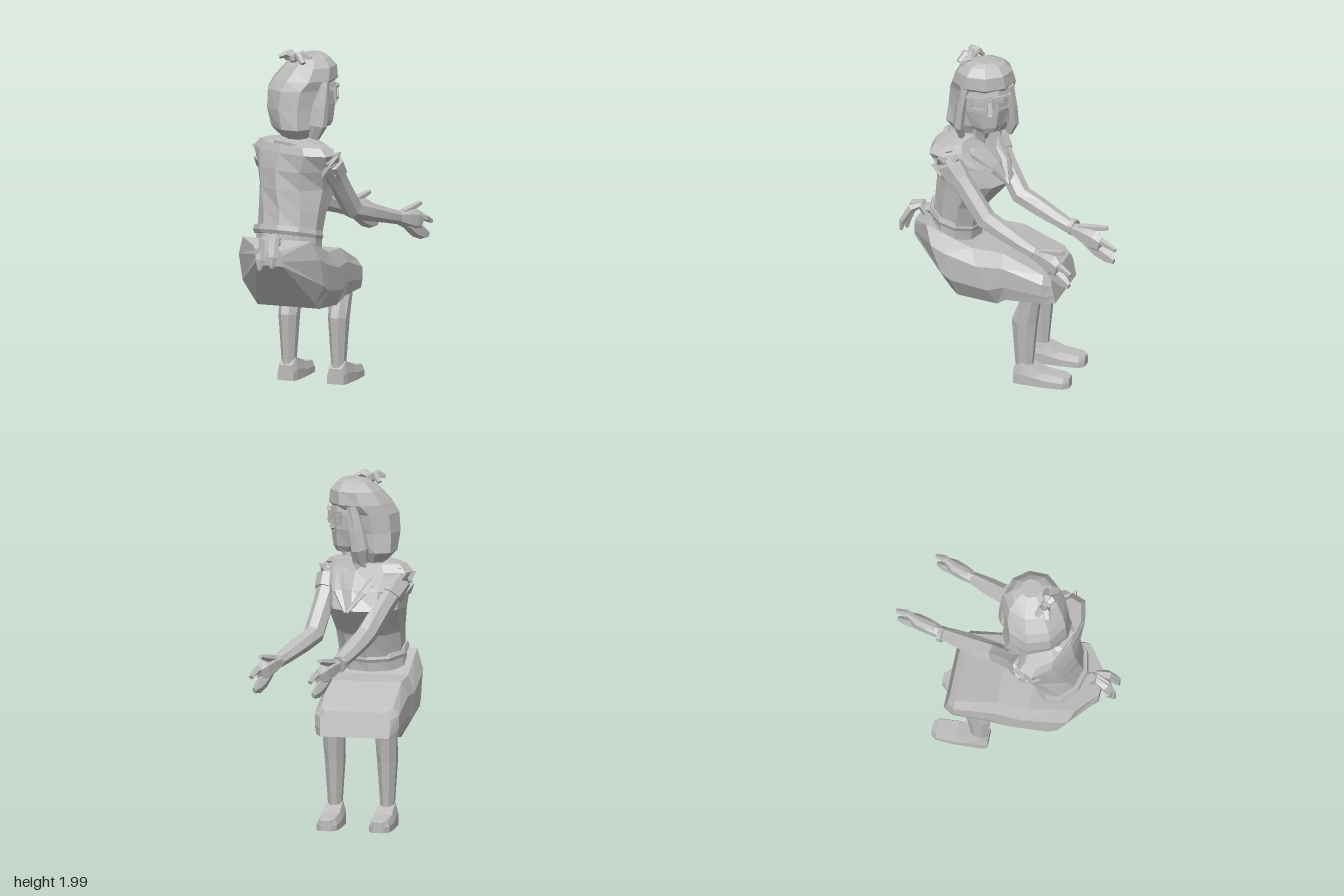
import * as THREE from 'three';

const grey = new THREE.MeshStandardMaterial({ color: 0xbcbcbc });
grey.name = 'stone grey';
const V = (x, y, z) => new THREE.Vector3(x, y, z);

function add(parent, name, geo) {
  const flat = geo.index ? geo.toNonIndexed() : geo;
  flat.computeVertexNormals();
  const m = new THREE.Mesh(flat, grey);
  m.name = name;
  parent.add(m);
}

// Skin a closed, capped solid over a list of equal-length rings
function loft(rings) {
  const n = rings[0].length, tris = [];
  const mid = r => r.reduce((s, p) => s.add(p), V(0, 0, 0)).divideScalar(n);
  for (let i = 0; i < rings.length - 1; i++) {
    for (let j = 0; j < n; j++) {
      const k = (j + 1) % n, a = rings[i], b = rings[i + 1];
      tris.push([a[j], a[k], b[k]], [a[j], b[k], b[j]]);
    }
  }
  const first = rings[0], last = rings[rings.length - 1], c0 = mid(first), c1 = mid(last);
  for (let j = 0; j < n; j++) {
    const k = (j + 1) % n;
    tris.push([c0, first[k], first[j]], [c1, last[j], last[k]]);
  }
  // turn the faces outward
  const volume = tris.reduce((s, t) => s + t[0].dot(V(0, 0, 0).crossVectors(t[1], t[2])), 0);
  if (volume < 0) tris.forEach(t => t.reverse());
  return new THREE.BufferGeometry().setFromPoints(tris.flat());
}

// Horizontal ring: centre, half sizes, yaw, and rise toward +z
function ring(cx, y, cz, hx, hz, yaw = 0, tilt = 0, n = 10) {
  return Array.from({ length: n }, (_, i) => {
    const a = (i + 0.5) / n * Math.PI * 2, x = Math.cos(a) * hx * 1.04, z = Math.sin(a) * hz * 1.04;
    return V(cx + x * Math.cos(yaw) - z * Math.sin(yaw), y + z * tilt, cz + x * Math.sin(yaw) + z * Math.cos(yaw));
  });
}

// Limb along a path of [x, y, z, sideRadius, otherRadius]
function limb(path, n = 6) {
  const pts = path.map(p => V(p[0], p[1], p[2]));
  return loft(path.map((p, i) => {
    const t = pts[Math.min(i + 1, pts.length - 1)].clone().sub(pts[Math.max(i - 1, 0)]).normalize();
    const up = Math.abs(t.y) > 0.92 ? V(0, 0, 1) : V(0, 1, 0);
    const side = t.clone().cross(up).normalize(), nrm = side.clone().cross(t);
    return Array.from({ length: n }, (_, j) => {
      const a = (j + 0.5) / n * Math.PI * 2;
      return pts[i].clone().addScaledVector(side, Math.cos(a) * p[3] * 1.05)
        .addScaledVector(nrm, Math.sin(a) * (p[4] ?? p[3]) * 1.05);
    });
  }));
}

function buildSkirt(g) {
  // top z,y  bottom z,y  half widths: top, side, bottom
  const rows = [
    [-0.28, 0.68, -0.31, 0.535, 0.18, 0.205, 0.2],
    [-0.24, 0.705, -0.25, 0.535, 0.21, 0.245, 0.235],
    [0.0, 0.81, -0.02, 0.53, 0.21, 0.25, 0.23],
    [0.19, 0.82, 0.04, 0.485, 0.21, 0.255, 0.2],
    [0.36, 0.89, 0.28, 0.505, 0.21, 0.255, 0.19],
    [0.46, 0.93, 0.32, 0.54, 0.21, 0.25, 0.18],
    [0.57, 0.885, 0.57, 0.795, 0.07, 0.08, 0.08]];
  add(g, 'skirt', loft(rows.map(([tz, ty, bz, by, wt, wm, wb]) => {
    const right = [[0, wt], [0.28, wm], [0.7, wm], [1, wb]].map(([t, w]) =>
      V(w - 0.158, ty + (by - ty) * t, tz + (bz - tz) * t));
    return right.concat(right.map(p => V(-0.316 - p.x, p.y, p.z)).reverse());
  })));
}

function buildTorso(g) {
  add(g, 'blouse', loft([
    ring(-0.14, 0.86, 0.33, 0.19, 0.14, 0, 0.2),
    ring(-0.135, 0.95, 0.32, 0.185, 0.14, 0.05, 0.28),
    ring(-0.13, 1.07, 0.29, 0.195, 0.15, 0.12, 0.15),
    ring(-0.125, 1.21, 0.215, 0.22, 0.215, 0.22),
    ring(-0.125, 1.32, 0.24, 0.245, 0.18, 0.32),
    ring(-0.12, 1.42, 0.275, 0.285, 0.13, 0.38),
    ring(-0.12, 1.465, 0.28, 0.24, 0.11, 0.38),
    ring(-0.12, 1.49, 0.25, 0.1, 0.08, 0.38)]));
  add(g, 'belt', loft([
    ring(-0.14, 0.925, 0.33, 0.192, 0.147, 0.03, 0.28),
    ring(-0.14, 0.945, 0.33, 0.2, 0.155, 0.03, 0.28),
    ring(-0.14, 0.975, 0.33, 0.192, 0.147, 0.03, 0.28)]));
  add(g, 'neck', limb([[-0.11, 1.4, 0.23, 0.08], [-0.1, 1.5, 0.19, 0.058], [-0.07, 1.6, 0.15, 0.058]], 7));
  // lapels running from the neck to the chest
  add(g, 'rightLapel', limb([[-0.19, 1.48, 0.25, 0.03, 0.02], [-0.2, 1.4, 0.13, 0.035, 0.02],
    [-0.13, 1.31, 0.05, 0.035, 0.015], [-0.05, 1.2, 0.0, 0.008]], 5));
  add(g, 'leftLapel', limb([[-0.05, 1.48, 0.29, 0.03, 0.02], [0.02, 1.4, 0.19, 0.035, 0.02],
    [0.01, 1.31, 0.08, 0.035, 0.015], [-0.04, 1.2, 0.0, 0.008]], 5));
  add(g, 'collarBack', limb([[-0.24, 1.44, 0.27, 0.02], [-0.2, 1.47, 0.34, 0.025],
    [-0.1, 1.47, 0.38, 0.025], [0.01, 1.44, 0.36, 0.02]], 5));
}

function buildBackBow(g) {
  for (const [x, tx, ty, tz] of [[-0.17, -0.21, 0.84, 0.63], [-0.15, -0.19, 0.78, 0.65], [-0.13, -0.11, 0.8, 0.66]])
    add(g, 'apronTie', limb([[x, 0.9, 0.51, 0.015], [x, 0.96, 0.55, 0.024, 0.022],
      [(x + tx) / 2, 0.94, 0.6, 0.03, 0.026], [tx, ty + 0.06, tz - 0.01, 0.028, 0.02], [tx, ty, tz, 0.01]], 5));
  add(g, 'apronKnot', new THREE.IcosahedronGeometry(0.035, 0).translate(-0.15, 0.94, 0.51));
}

function buildArm(g, name, s, e, w, tip) {
  const arm = new THREE.Group();
  arm.name = name;
  g.add(arm);
  const at = (p, q, t) => p.map((v, i) => v + (q[i] - v) * t);
  add(arm, 'arm', limb([[...s, 0.068], [...at(s, e, 0.5), 0.056, 0.06], [...e, 0.056, 0.06],
    [...at(e, w, 0.35), 0.057, 0.052], [...at(e, w, 0.7), 0.05, 0.043], [...w, 0.036, 0.038]], 7));
  // sleeve with a jagged hem
  const hem = at(s, e, 0.3), out = Math.sign(s[0] + 0.125);
  add(arm, 'sleeve', limb([[s[0], s[1] + 0.06, s[2], 0.04], [...at(s, e, 0.06), 0.083], [...hem, 0.072]], 7));
  for (let i = 0; i < 6; i++) {
    const a = (i / 5 - 0.5) * 3.2, dx = Math.cos(a) * out, dz = Math.sin(a), y = s[1] - 0.04 + (i % 2) * 0.06;
    add(arm, 'sleeveRuffle', limb([[s[0] + dx * 0.03, y - 0.02, s[2] + dz * 0.04, 0.05, 0.045],
      [s[0] + dx * 0.09, y + 0.02, s[2] + dz * 0.1, 0.003]], 4));
  }
  // hand: palm, pointing fingers, lowered fingers and raised thumb
  const hand = (dx, dy, t) => { const p = at(w, tip, t); return [p[0] + dx, p[1] + dy, p[2]]; };
  add(arm, 'palm', limb([[...w, 0.034, 0.036], [...hand(0, 0, 0.25), 0.04, 0.055],
    [...hand(0, -0.005, 0.5), 0.04, 0.062], [...hand(0.005, -0.01, 0.66), 0.026, 0.05]]));
  add(arm, 'forefinger', limb([[...hand(0, 0.02, 0.5), 0.02], [...hand(0.01, 0.015, 0.78), 0.02], [...tip, 0.013]], 5));
  add(arm, 'fingers', limb([[...hand(0, -0.025, 0.32), 0.028, 0.04], [...hand(-0.005, -0.06, 0.58), 0.026, 0.045],
    [...hand(-0.01, -0.075, 0.8), 0.022, 0.038], [...hand(-0.01, -0.08, 0.95), 0.012, 0.018]], 5));
  add(arm, 'thumb', limb([[...hand(0, 0.03, 0.15), 0.022], [...hand(-0.015, 0.06, 0.45), 0.022],
    [...hand(-0.02, 0.1, 0.78), 0.014]], 5));
  return arm;
}

function buildLeg(g, name, x) {
  add(g, name + 'Leg', limb([[x, 0.62, -0.16, 0.064, 0.052], [x, 0.53, -0.152, 0.063, 0.055], [x, 0.38, -0.112, 0.057, 0.074],
    [x, 0.12, -0.11, 0.04, 0.052], [x, 0.06, -0.11, 0.04, 0.05]], 8));
  // shoe cross-sections from heel to toe: z, half width, height
  add(g, name + 'Shoe', loft([[-0.055, 0.05, 0.09], [-0.1, 0.06, 0.13], [-0.17, 0.063, 0.11],
    [-0.24, 0.066, 0.082], [-0.355, 0.06, 0.068], [-0.385, 0.032, 0.06]].map(([z, w, h]) =>
    [[w, 0], [w, h * 0.5], [w * 0.75, h], [-w * 0.75, h], [-w, h * 0.5], [-w, 0]].map(p => V(x + p[0], p[1], z)))));
}

function buildHead(g) {
  const head = new THREE.Group();
  head.name = 'head';
  head.position.set(-0.08, 0, 0.15);
  head.rotation.y = 2.06;
  g.add(head);
  // [y, half width, front, back]
  const shell = (rows, n) => loft(rows.map(([y, w, f, b]) => ring(0, y, (f + b) / 2, w, (f - b) / 2, 0, 0, n)));
  add(head, 'face', shell([[1.545, 0.06, 0.12, -0.02], [1.58, 0.095, 0.135, -0.06], [1.68, 0.13, 0.145, -0.08],
    [1.78, 0.135, 0.145, -0.08], [1.88, 0.12, 0.12, -0.08]], 8));
  add(head, 'hair', shell([[1.49, 0.15, 0.0, -0.16], [1.55, 0.2, 0.03, -0.22], [1.66, 0.185, 0.055, -0.245],
    [1.77, 0.18, 0.09, -0.24], [1.825, 0.177, 0.155, -0.21], [1.9, 0.155, 0.15, -0.14], [1.945, 0.115, 0.11, -0.08],
    [1.965, 0.06, 0.08, -0.03]], 9));
  for (const s of [-1, 1]) {
    add(head, 'sideLock', limb([[s * 0.125, 1.82, 0.07, 0.03, 0.03], [s * 0.15, 1.68, 0.045, 0.028, 0.045],
      [s * 0.16, 1.57, 0.03, 0.03, 0.05], [s * 0.14, 1.495, 0.01, 0.02, 0.03]], 6));
    // spectacle frame with a hole for each lens
    const corners = list => list.map(p => new THREE.Vector2(p[0] * s, p[1]));
    const frame = new THREE.Shape(corners([[-0.058, 0.03], [0.058, 0.042], [0.05, -0.04], [-0.045, -0.045]]));
    frame.holes.push(new THREE.Path(corners([[-0.045, 0.018], [0.044, 0.028], [0.038, -0.028], [-0.034, -0.033]])));
    add(head, 'spectacleFrame', new THREE.ExtrudeGeometry(frame, { depth: 0.015, bevelEnabled: false })
      .rotateY(s * 0.25).translate(s * 0.066, 1.75, 0.14));
    add(head, 'spectacleArm', new THREE.BoxGeometry(0.01, 0.015, 0.1).translate(s * 0.125, 1.775, 0.085));
    add(head, 'eye', new THREE.BoxGeometry(0.045, 0.022, 0.009).rotateY(s * 0.25).translate(s * 0.06, 1.75, 0.137));
  }
  add(head, 'spectacleBridge', new THREE.BoxGeometry(0.03, 0.012, 0.015).translate(0, 1.765, 0.16));
  add(head, 'nose', limb([[0, 1.75, 0.13, 0.012], [0, 1.68, 0.147, 0.02], [0, 1.665, 0.138, 0.015]], 4));
}

function buildHairBow(g) {
  add(g, 'hairKnot', new THREE.IcosahedronGeometry(0.035, 0).translate(-0.14, 1.95, 0.24));
  const ends = [[-0.22, 1.955, 0.27], [-0.2, 1.93, 0.2], [-0.06, 1.93, 0.3], [-0.04, 1.95, 0.23]];
  for (const [x, y, z] of ends)
    add(g, 'hairRibbon', limb([[-0.14, 1.95, 0.24, 0.016], [(x - 0.14) / 2, 1.972, (z + 0.24) / 2, 0.024, 0.022],
      [x, y, z, 0.018, 0.012]], 5));
}

export function createModel() {
  const g = new THREE.Group();
  g.name = 'seatedWoman';
  buildSkirt(g);
  buildTorso(g);
  buildBackBow(g);
  buildArm(g, 'leftArm', [0.095, 1.38, 0.32], [0.155, 1.06, 0.07], [0.295, 0.955, -0.27], [0.405, 0.9, -0.51]);
  const right = buildArm(g, 'rightArm', [-0.325, 1.38, 0.18], [-0.17, 1.085, -0.04], [-0.07, 0.965, -0.38], [0.03, 0.91, -0.665]);
  add(right, 'bracelet', limb([[-0.085, 0.975, -0.365, 0.045, 0.048], [-0.077, 0.97, -0.39, 0.045, 0.048]], 8));
  buildLeg(g, 'left', -0.005);
  buildLeg(g, 'right', -0.31);
  buildHead(g);
  buildHairBow(g);
  return g;
}
